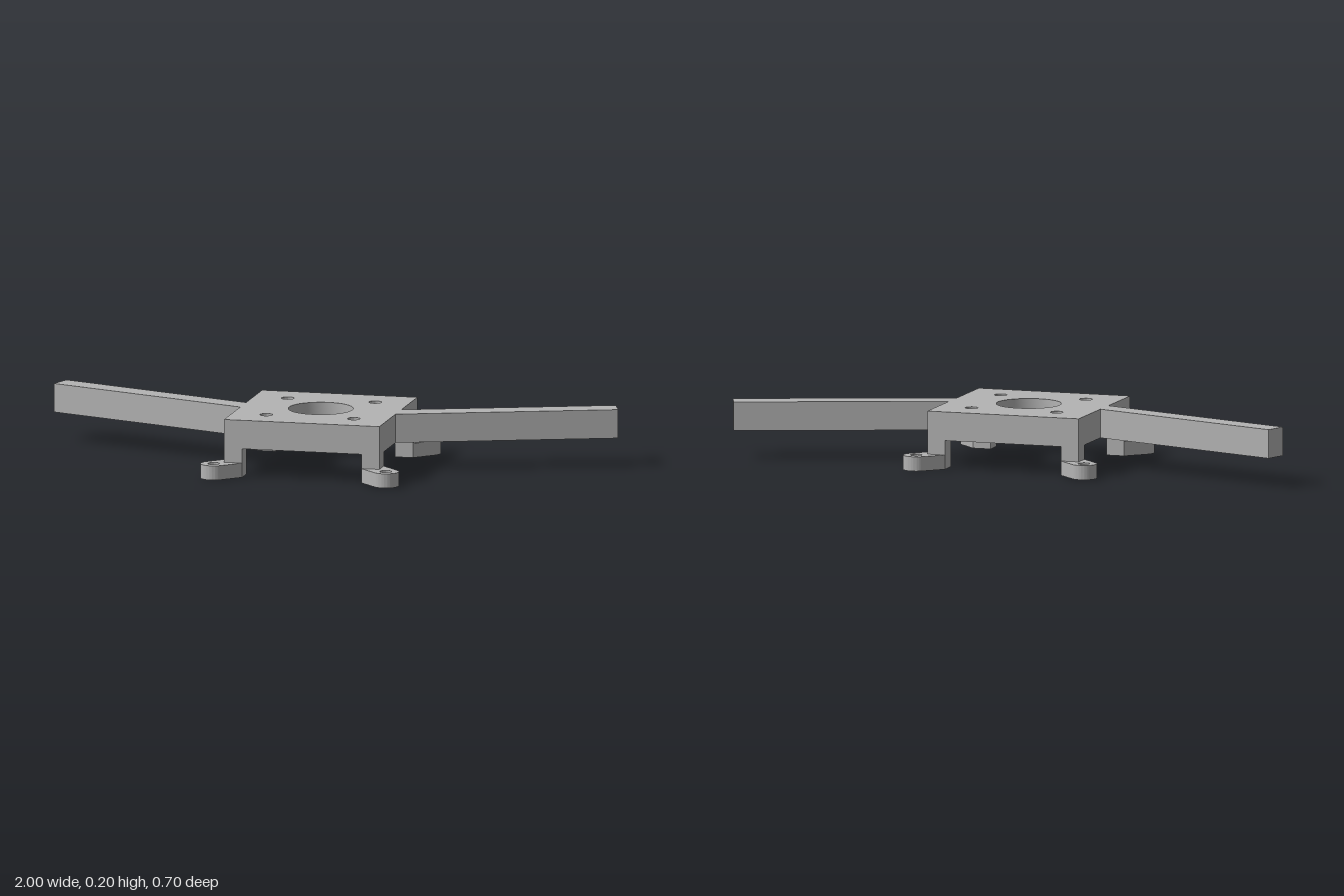
import * as THREE from 'three';
import { toCreasedNormals } from 'three/addons/utils/BufferGeometryUtils.js';

const HALF = 0.275;  // half the width of the square plate
const INNER = 0.211; // half the width of the recess underneath
const DROP = 0.1;    // underside of the plate and arms
const TOP = 0.2;

const polygon = (points) => new THREE.Shape(points.map(([x, z]) => new THREE.Vector2(x, -z)));
const square = (h) => polygon([[-h, h], [h, h], [h, -h], [-h, -h]]);

function drill(shape, x, z, r) {
  const hole = new THREE.Path();
  hole.absarc(x, -z, r, 0, Math.PI * 2, true);
  shape.holes.push(hole);
}

export function createModel() {
  const model = new THREE.Group();
  const grey = new THREE.MeshStandardMaterial({ color: 0xb4b4b4 });
  grey.name = 'plain grey';

  // Extrudes a plan outline upward between two heights
  function slab(name, shape, y0, y1, parent = model) {
    const geometry = new THREE.ExtrudeGeometry(shape, { depth: y1 - y0, bevelEnabled: false, curveSegments: 24 });
    geometry.rotateX(-Math.PI / 2).translate(0, y0, 0);
    const mesh = new THREE.Mesh(toCreasedNormals(geometry, Math.PI / 6), grey);
    mesh.name = name;
    parent.add(mesh);
  }

  // Top plate with a central bore and four screw holes
  const plate = square(HALF);
  drill(plate, 0, 0, 0.112);
  for (const x of [-0.155, 0.155]) for (const z of [-0.155, 0.155]) drill(plate, x, z, 0.022);
  slab('plate', plate, 0.15, TOP);

  // Rim hanging below the plate around the recess
  const rim = square(HALF);
  rim.holes.push(square(INNER));
  slab('rim', rim, DROP, 0.15);

  // Swept-back arms
  for (const [name, s] of [['leftArm', 1], ['rightArm', -1]]) {
    const outline = [[HALF, 0.042], [1, -0.221], [0.973, -0.296], [HALF, -0.043]];
    slab(name, polygon(outline.map(([x, z]) => [s * x, z])), DROP, TOP);
  }

  // Corner legs: a square post on a pointed lug with a rounded, drilled end
  const C = 0.305, R = 0.045;
  ['frontLeftLeg', 'backLeftLeg', 'backRightLeg', 'frontRightLeg'].forEach((name, i) => {
    const leg = new THREE.Group();
    leg.name = name;
    leg.rotation.y = i * Math.PI / 2;

    slab('post', polygon([[INNER, HALF], [HALF, HALF], [HALF, INNER], [INNER, INNER]]), 0.05, DROP, leg);

    const lug = new THREE.Shape();
    lug.moveTo(INNER, -INNER);
    lug.lineTo(INNER, -HALF);
    lug.absarc(C, -C, R, -Math.PI * 3 / 4, Math.PI / 4, false);
    lug.lineTo(HALF, -INNER);
    lug.closePath();
    drill(lug, C, C, 0.02);
    slab('lug', lug, 0, 0.05, leg);
    model.add(leg);
  });

  return model;
}
